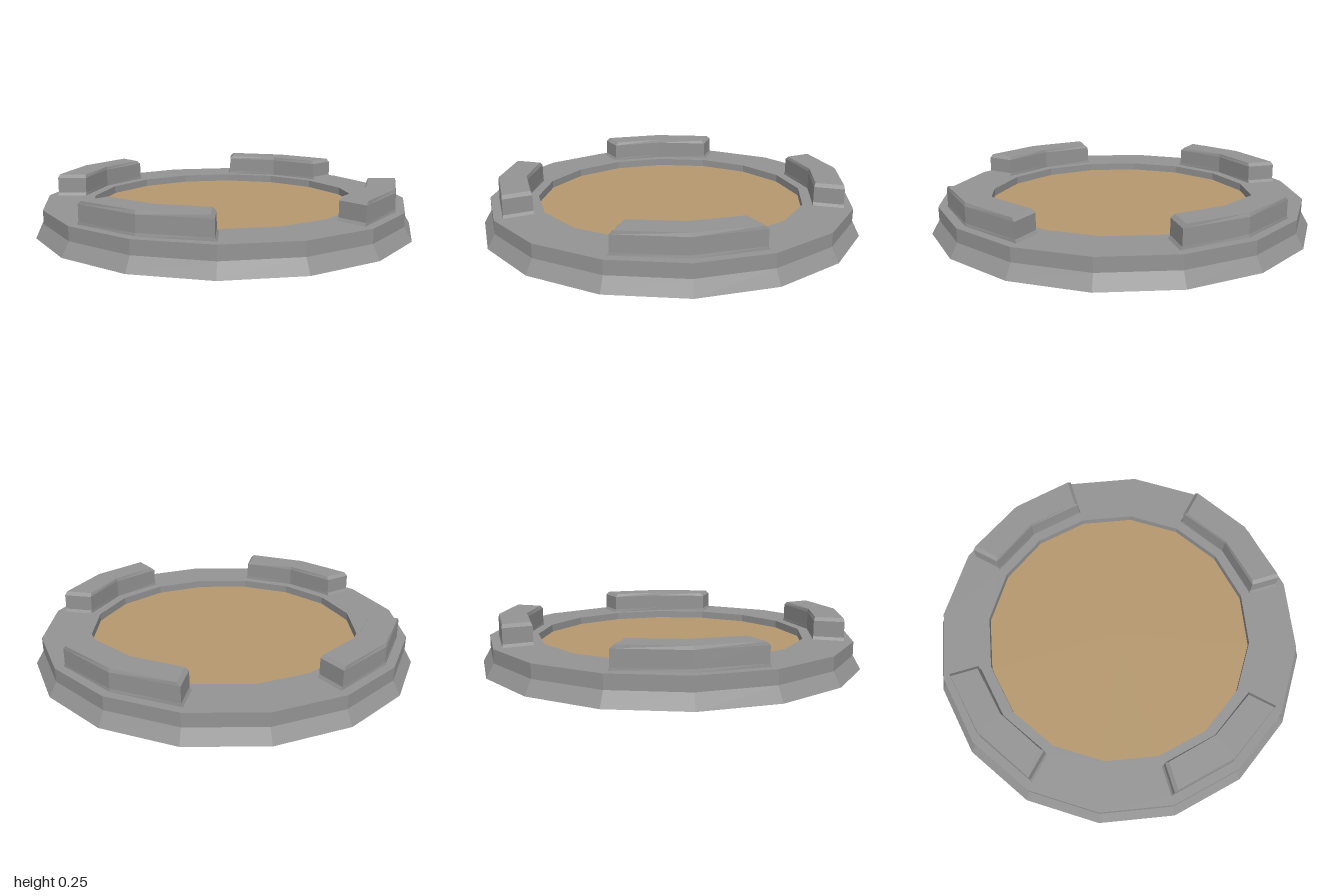
import * as THREE from 'three';

const SIDES = 16;
const STEP = (Math.PI * 2) / SIDES;
const TOP = 0.14;      // height of the rim's flat top
const FLOOR = 0.1;     // height of the sunken disc
const INNER = 0.707;   // radius of the opening

const polar = (a, r, y) => new THREE.Vector3(r * Math.sin(a), y, r * Math.cos(a));

const circle = (r, y) =>
  Array.from({ length: SIDES }, (_, i) => polar(i * STEP, r, y));

// Joins closed loops of points into a faceted skin; capFaces index the last loop.
function loft(loops, capFaces = []) {
  const points = [];
  const n = loops[0].length;
  for (let k = 0; k < loops.length - 1; k++) {
    for (let i = 0; i < n; i++) {
      const j = (i + 1) % n;
      const [a, b, c, d] = [loops[k][i], loops[k][j], loops[k + 1][j], loops[k + 1][i]];
      points.push(a, b, c, a, c, d);
    }
  }
  const last = loops[loops.length - 1];
  for (const i of capFaces) points.push(last[i]);
  const geometry = new THREE.BufferGeometry().setFromPoints(points);
  geometry.computeVertexNormals();
  return geometry;
}

// Outline of a bent block spanning two sides of the rim, drawn in on each side.
function blockLoop(y, outerInset, innerInset, endInset) {
  const corner = (side, r) => {
    const a = side * STEP;
    const p = polar(a, r, y);
    p.x -= side * endInset * Math.cos(a);
    p.z += side * endInset * Math.sin(a);
    return p;
  };
  const outer = 0.915 - outerInset;
  const inner = 0.76 + innerInset;
  return [
    corner(-1, outer), corner(0, outer), corner(1, outer),
    corner(1, inner), corner(0, inner), corner(-1, inner),
  ];
}

export function createModel() {
  const group = new THREE.Group();
  const stone = new THREE.MeshStandardMaterial({
    color: 0x949494, flatShading: true, side: THREE.DoubleSide,
  });
  const sand = new THREE.MeshStandardMaterial({
    color: 0xb5986e, flatShading: true, side: THREE.DoubleSide,
  });
  const add = (name, geometry, material = stone) => {
    const mesh = new THREE.Mesh(geometry, material);
    mesh.name = name;
    group.add(mesh);
    return mesh;
  };

  // Outer wall with flared foot, open underneath
  add('outerWall', loft([circle(1, 0), circle(0.96, 0.07), circle(0.96, TOP)]));

  // Inner wall stepping down to the disc
  add('innerWall', loft([circle(INNER, TOP), circle(INNER, FLOOR)]));

  // Flat rim top, cut open under each hollow block
  const flat = (points) => points.map((p) => new THREE.Vector2(p.x, -p.z));
  const rim = new THREE.Shape(flat(circle(0.96, TOP)));
  rim.holes.push(new THREE.Path(flat(circle(INNER, TOP))));
  const yAxis = new THREE.Vector3(0, 1, 0);
  for (let q = 0; q < 4; q++) {
    const hole = blockLoop(TOP, 0, 0, 0).map((p) => p.applyAxisAngle(yAxis, (q * Math.PI) / 2));
    rim.holes.push(new THREE.Path(flat(hole)));
  }
  add('rimTop', new THREE.ShapeGeometry(rim).rotateX(-Math.PI / 2).translate(0, TOP, 0));

  // Sunken floor disc
  add('floorDisc',
    new THREE.CircleGeometry(INNER, SIDES).rotateX(-Math.PI / 2).translate(0, FLOOR, 0), sand);

  // Four raised blocks with a small foot and a bevelled top
  const block = loft([
    blockLoop(TOP, 0, 0, 0),
    blockLoop(0.155, 0.003, 0, 0.009),
    blockLoop(0.235, 0.003, 0, 0.01),
    blockLoop(0.252, 0.009, 0.004, 0.028),
  ], [0, 1, 4, 0, 4, 5, 1, 2, 3, 1, 3, 4]);
  ['frontBlock', 'leftBlock', 'backBlock', 'rightBlock'].forEach((name, q) => {
    add(name, block).rotation.y = (q * Math.PI) / 2;
  });

  return group;
}
